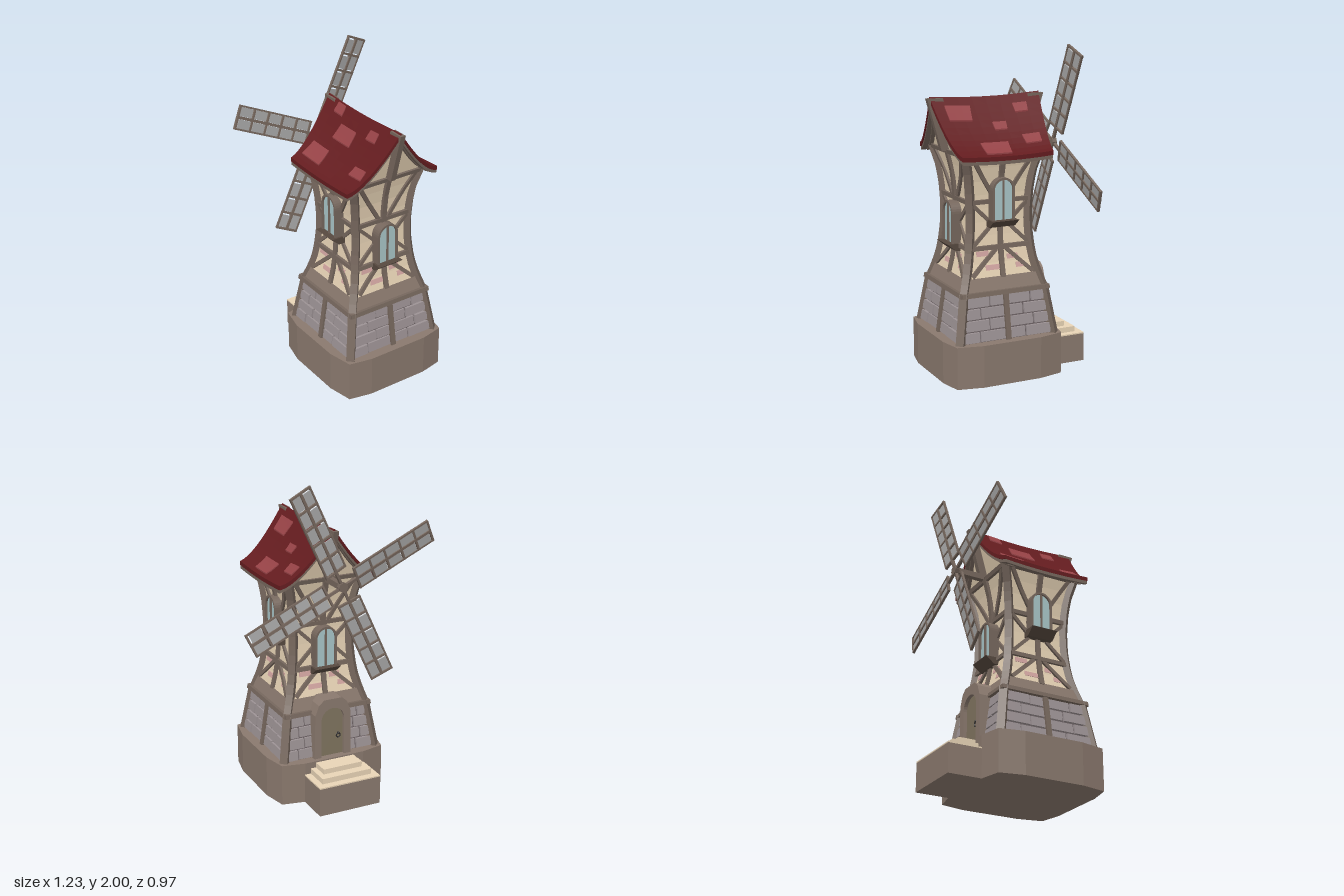
import * as THREE from 'three';

const CZ = 0.092; // tower centre in z
const C = {
  wood: 0x76675d, base: 0x8a796e, plaster: 0xe8d4b6, mortar: 0x6a6062, stone: 0x9c9294, roof: 0x641c1f,
  patch: 0x964246, glass: 0xa9c6c8, dark: 0x57493f, door: 0x80745f, brick: 0xd3a6a2, sail: 0xa6a6a6, metal: 0x2c2a2a,
};
const mats = {};
for (const k in C) mats[k] = new THREE.MeshStandardMaterial({ color: C[k], flatShading: true, side: THREE.DoubleSide });

function add(parent, name, geo, mat, x = 0, y = 0, z = 0) {
  const m = new THREE.Mesh(geo, mats[mat]);
  m.name = name;
  m.position.set(x, y, z);
  parent.add(m);
  return m;
}
const box = (w, h, d, sx = 1, sy = 1, sz = 1) => new THREE.BoxGeometry(w, h, d, sx, sy, sz);

// Move every vertex of a geometry by a rule (x, y, z) => [x, y, z]
function warp(geo, rule) {
  const p = geo.attributes.position;
  for (let i = 0; i < p.count; i++) p.setXYZ(i, ...rule(p.getX(i), p.getY(i), p.getZ(i)));
  geo.computeVertexNormals();
  return geo;
}

// Half-width of the waisted tower at a height
const PROFILE = [[0.26, 0.31], [0.55, 0.265], [0.64, 0.236], [0.72, 0.216], [0.81, 0.202], [0.92, 0.193],
  [1.03, 0.192], [1.14, 0.198], [1.25, 0.211], [1.38, 0.245], [1.7, 0.335]];
function half(y) {
  let i = 1;
  while (i < PROFILE.length - 1 && y > PROFILE[i][0]) i++;
  const [y0, a] = PROFILE[i - 1], [y1, b] = PROFILE[i];
  return a + (b - a) * (y - y0) / (y1 - y0);
}
const roofY = (x) => 1.7 - 0.315 * (1 - Math.pow(1 - Math.min(1, Math.abs(x) / 0.32), 1.5));
const sag = (z) => -0.015 * (1 - Math.min(1, ((z - CZ) / 0.34) ** 2));

// Square tower shell between two heights
function shell(y0, y1, grow) {
  const pts = [];
  for (let i = 0; i <= 10; i++) {
    const y = y0 + (y1 - y0) * i / 10;
    pts.push(new THREE.Vector2((half(y) + grow) * Math.SQRT2, y));
  }
  return new THREE.LatheGeometry(pts, 4).rotateY(Math.PI / 4);
}

// Bar lying on a wall, following its curve; u runs across the wall
function wallBar(parent, name, u0, y0, u1, y1, w, d, mat = 'wood') {
  const len = Math.hypot(u1 - u0, y1 - y0), du = (u1 - u0) / len, dy = (y1 - y0) / len;
  add(parent, name, warp(box(1, 1, 1, 10), (x, y, z) => {
    const t = (x + 0.5) * len;
    const u = u0 + du * t - dy * y * w, v = y0 + dy * t + du * y * w;
    return [u, v, half(v) + z * d];
  }), mat);
}

function arch(w, h) {
  const s = new THREE.Shape();
  s.moveTo(-w, 0).lineTo(w, 0).lineTo(w, h - w);
  s.absarc(0, h - w, w, 0, Math.PI, false);
  s.closePath();
  return s;
}
const extrude = (shape, depth) => new THREE.ExtrudeGeometry(shape, { depth, bevelEnabled: false, curveSegments: 8 });

function makeWindow(face, y) {
  const g = new THREE.Group();
  g.name = 'window';
  g.position.y = y;
  face.add(g);
  const frame = arch(0.073, 0.255);
  frame.holes.push(arch(0.06, 0.242));
  add(g, 'windowFrame', extrude(frame, 0.1), 'wood', 0, 0, 0.157);
  add(g, 'windowGlass', extrude(arch(0.062, 0.244), 0.06), 'glass', 0, 0, 0.185);
  add(g, 'windowMullion', box(0.01, 0.24, 0.015), 'wood', 0, 0.12, 0.248);
  // Sill whose front slopes back towards the wall
  add(g, 'windowSill', warp(box(0.17, 0.045, 0.14), (x, yy, z) => [x, yy, z > 0 && yy < 0 ? z - 0.055 : z]), 'dark', 0, -0.022, 0.22);
}

function makeFace(tower, i) {
  const isBack = i === 2, gabled = i % 2 === 0;
  const f = new THREE.Group();
  f.name = ['frontWall', 'leftWall', 'backWall', 'rightWall'][i];
  f.rotation.y = i * Math.PI / 2;
  tower.add(f);
  const winY = gabled ? 0.82 : 0.98;

  // Stone courses, two blocks on each half of a row
  for (let r = 0; r < 4; r++) {
    const y = 0.295 + r * 0.069, edge = half(y) - 0.02, inner = isBack ? 0.11 : 0.018;
    for (const s of [-1, 1]) {
      const cut = inner + (edge - inner) * ((r + (s > 0 ? 1 : 0)) % 2 ? 0.38 : 0.62);
      wallBar(f, 'stoneBlock', s * inner, y, s * (cut - 0.005), y, 0.058, 0.022, 'stone');
      wallBar(f, 'stoneBlock', s * (cut + 0.005), y, s * edge, y, 0.058, 0.03, 'stone');
    }
  }
  if (!isBack) wallBar(f, 'stonePost', 0, 0.26, 0, 0.55, 0.032, 0.045);
  wallBar(f, 'stoneTopBeam', -0.29, 0.548, 0.29, 0.548, 0.026, 0.06);

  // Timber frame
  for (const y of [0.81, 1.09, 1.375]) wallBar(f, 'crossBeam', -half(y), y, half(y), y, 0.026, 0.036);
  wallBar(f, 'lowerPost', 0, 0.63, 0, winY - 0.03, 0.03, 0.034);
  wallBar(f, 'upperPost', 0, winY + 0.25, 0, 1.38, 0.032, 0.04);
  for (const s of [-1, 1]) {
    wallBar(f, 'upperBrace', s * 0.2, 1.365, s * 0.035, 1.1, 0.024, 0.03);
    wallBar(f, 'middleBrace', s * 0.185, 1.08, s * 0.06, 0.96, 0.022, 0.03);
    wallBar(f, 'middleBrace', s * 0.06, 0.94, s * 0.185, 0.82, 0.022, 0.03);
    wallBar(f, 'lowerBrace', s * 0.03, 0.8, s * 0.2, 0.645, 0.024, 0.03);
  }
  // Bare bricks showing through the plaster
  for (const [u, y, w] of [[-0.12, 0.775, 0.08], [0.075, 0.745, 0.07], [-0.06, 0.69, 0.09], [0.12, 0.69, 0.05]])
    wallBar(f, 'bareBrick', u - w / 2, y, u + w / 2, y, 0.03, 0.008, 'brick');
  makeWindow(f, winY);

  if (gabled) {
    add(f, 'gable', warp(new THREE.PlaneGeometry(2, 1, 16, 5), (x, v) => {
      const y = 1.37 + (v + 0.5) * (roofY(x * 0.28) - 0.02 - 1.37);
      return [x * 0.28, y, half(y)];
    }), 'plaster');
    add(f, 'bargeBoard', warp(box(2, 1, 1, 16), (x, v, z) => {
      const y = roofY(x * 0.3) - 0.035 + v * 0.035;
      return [x * 0.3, y, half(y) + z * 0.05];
    }), 'wood');
    wallBar(f, 'gablePost', 0, 1.38, 0, 1.695, 0.034, 0.1);
  }
}

function makeSails(root) {
  const sails = new THREE.Group();
  sails.name = 'sails';
  sails.position.set(0, 1.383, -0.37);
  root.add(sails);
  add(sails, 'axle', box(0.036, 0.036, 0.2), 'wood', 0, 0, 0.09);
  add(sails, 'hub', new THREE.CylinderGeometry(0.03, 0.03, 0.03, 8).rotateX(Math.PI / 2), 'wood');
  for (let k = 0; k < 4; k++) {
    const arm = new THREE.Group(), b = new THREE.Group();
    arm.name = 'sailArm';
    arm.rotation.z = THREE.MathUtils.degToRad(-25 + 90 * k);
    b.name = 'sailPanel';
    b.rotation.y = 0.14;
    arm.add(b);
    sails.add(arm);
    add(b, 'sailSpar', box(0.016, 0.645, 0.018), 'wood', 0, 0.323, 0);
    for (const s of [-1, 1]) add(b, 'sailRail', box(0.01, 0.545, 0.014), 'wood', s * 0.07, 0.373, 0);
    for (let r = 0; r <= 5; r++) {
      const y = 0.105 + r * 0.107;
      add(b, 'sailBar', box(0.15, 0.012, 0.016), 'wood', 0, y, 0);
      if (r < 5) for (const s of [-1, 1]) {
        const h = 0.08 + 0.014 * ((r * 3 + k + (s > 0 ? 1 : 0)) % 3) / 2;
        add(b, 'sailSlat', box(0.054, h, 0.007), 'sail', s * 0.037, y + 0.054 + s * 0.003, 0);
      }
    }
  }
}

export function createModel() {
  const root = new THREE.Group();
  root.name = 'windmill';

  // Foundation and entrance steps
  const plan = [[-0.2, -0.47], [0.2, -0.47], [0.345, -0.44], [0.378, -0.28], [0.378, 0.1], [0.345, 0.255],
    [0.2, 0.285], [-0.2, 0.285], [-0.345, 0.255], [-0.378, 0.1], [-0.378, -0.28], [-0.345, -0.44]];
  const outline = new THREE.Shape(plan.map(([x, y]) => new THREE.Vector2(x, y)));
  add(root, 'foundation', extrude(outline, 0.26).rotateX(-Math.PI / 2), 'base');
  add(root, 'stepBlock', box(0.41, 0.178, 0.245), 'base', 0, 0.089, -0.3725);
  for (const [w, y0, y1, z] of [[0.41, 0.178, 0.186, -0.495], [0.33, 0.186, 0.22, -0.45], [0.26, 0.22, 0.252, -0.395]])
    add(root, 'step', box(w, y1 - y0, -0.25 - z), 'plaster', 0, (y0 + y1) / 2, (z - 0.25) / 2);

  // Tower
  const tower = new THREE.Group();
  tower.name = 'tower';
  tower.position.z = CZ;
  root.add(tower);
  add(tower, 'stoneStorey', shell(0.255, 0.55, 0), 'mortar');
  add(tower, 'skirtBand', shell(0.55, 0.638, 0.012), 'base');
  add(tower, 'plasterWalls', shell(0.55, 1.38, 0), 'plaster');
  for (let i = 0; i < 4; i++) {
    makeFace(tower, i);
    const corner = new THREE.Group();
    corner.name = 'corner';
    corner.rotation.y = i * Math.PI / 2;
    tower.add(corner);
    for (const [y0, y1, w] of [[0.255, 0.56, 0.05], [0.55, 1.385, 0.045]])
      add(corner, 'cornerPost', warp(box(w, y1 - y0, w, 1, 14, 1).rotateY(Math.PI / 4).translate(0, (y0 + y1) / 2, 0),
        (x, y, z) => [x + half(y) - 0.003, y, z + half(y) - 0.003]), 'wood');
  }

  // Door on the back wall
  const door = new THREE.Group();
  door.name = 'doorway';
  door.rotation.y = Math.PI;
  door.position.set(0, 0.255, CZ);
  root.add(door);
  const frame = new THREE.Shape([[-0.125, 0], [0.125, 0], [0.12, 0.29], [0.095, 0.355], [0.06, 0.385], [-0.06, 0.385],
    [-0.095, 0.355], [-0.12, 0.29]].map(([x, y]) => new THREE.Vector2(x, y)));
  frame.holes.push(arch(0.078, 0.325));
  add(door, 'doorFrame', extrude(frame, 0.14), 'base', 0, 0, 0.21);
  add(door, 'doorPanel', extrude(arch(0.08, 0.327), 0.11), 'door', 0, 0, 0.217);
  add(door, 'doorHandle', new THREE.TorusGeometry(0.013, 0.004, 6, 12), 'metal', 0.045, 0.13, 0.334);
  add(door, 'doorKnob', new THREE.SphereGeometry(0.008, 8, 6), 'metal', 0.045, 0.146, 0.334);

  // Curved, sagging roof with a wooden lining
  const roofLayer = (name, mat, lift, thick, grow) => add(root, name, warp(box(2, 1, 1, 20, 1, 8), (x, v, w) => {
    const a = Math.abs(x), z = CZ + 0.002 * (1 - a) + 2 * w * (0.295 + 0.066 * (1 - a) + grow);
    return [x * 0.323, roofY(x * 0.32) + sag(z) + lift + v * thick, z];
  }), mat);
  roofLayer('roofTiles', 'roof', -0.008, 0.026, 0);
  roofLayer('roofLining', 'wood', -0.031, 0.02, -0.006);
  const patches = [[-0.225, -0.08, 0.08, 0.17], [-0.028, -0.11, 0.035, 0.08], [0.058, -0.115, 0.035, 0.09],
    [0.21, -0.12, 0.05, 0.11], [-0.1, 0.04, 0.06, 0.16], [0.13, 0.055, 0.035, 0.085], [0.255, 0.135, 0.08, 0.17],
    [-0.055, 0.255, 0.035, 0.085], [-0.205, 0.32, 0.045, 0.11], [0.07, 0.295, 0.06, 0.155]];
  for (const [px, pz, w, d] of patches)
    add(root, 'raisedTile', warp(box(w, 1, d, 4, 1, 3), (x, v, z) =>
      [x + px, roofY(x + px) + sag(z + pz) + 0.005 + v * 0.02, z * (1 - 0.12 * x / w) + pz]), 'patch');

  makeSails(root);
  return root;
}
